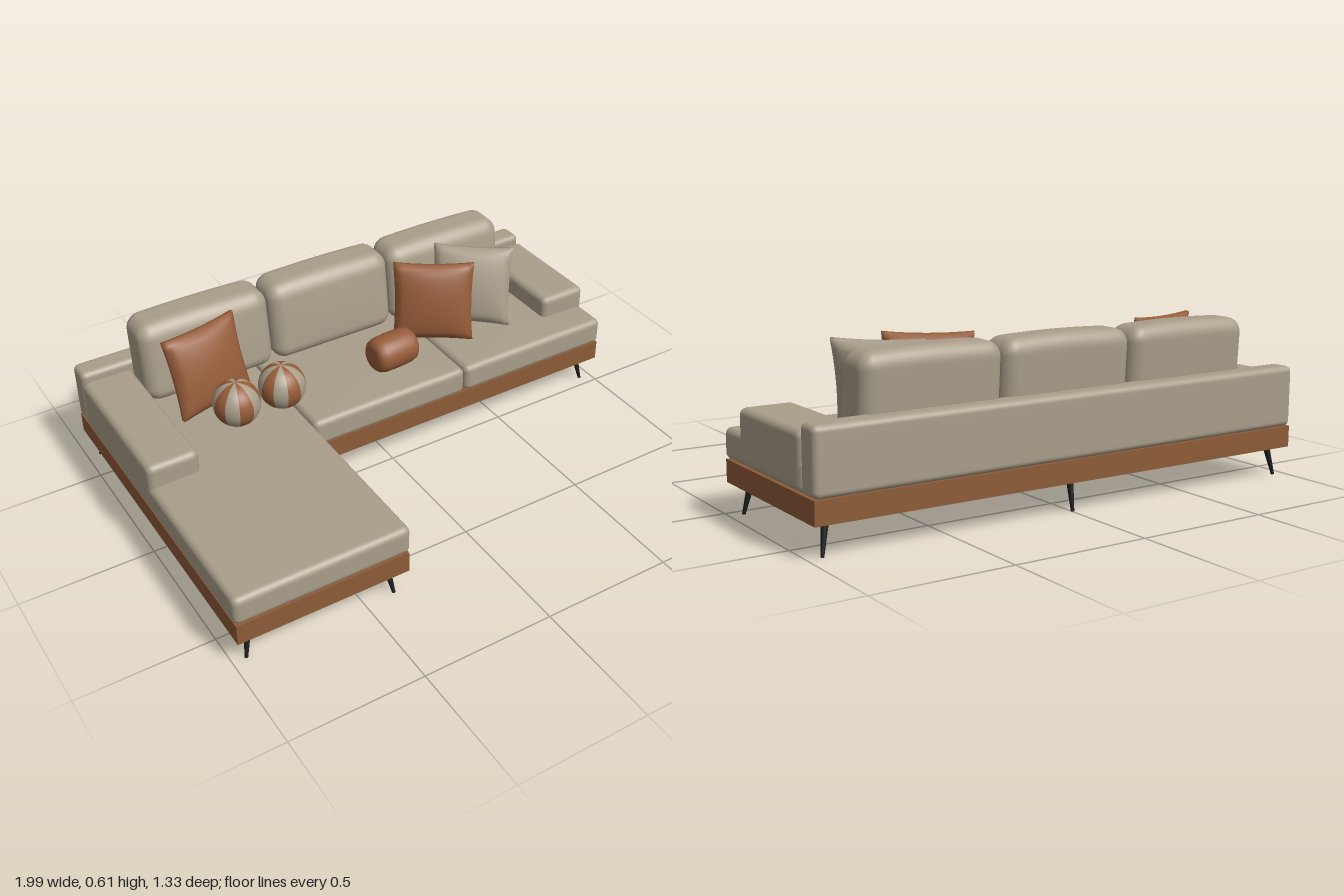
import * as THREE from 'three';
import { mergeVertices } from 'three/addons/utils/BufferGeometryUtils.js';

const material = (name, color) => {
  const m = new THREE.MeshStandardMaterial({ color });
  m.name = name;
  return m;
};

// Move every vertex by a rule, then weld and smooth the surface
function reshape(geometry, rule) {
  geometry.deleteAttribute('normal');
  geometry.deleteAttribute('uv');
  geometry.clearGroups();
  const pos = geometry.attributes.position;
  const p = new THREE.Vector3();
  for (let i = 0; i < pos.count; i++) {
    p.fromBufferAttribute(pos, i);
    rule(p);
    pos.setXYZ(i, p.x, p.y, p.z);
  }
  const welded = mergeVertices(geometry, 1e-5);
  welded.computeVertexNormals();
  return welded;
}

// Upholstered block: rounded edges, evenly divided flats, optional soft deformation
function softBox(w, h, d, r, deform) {
  const N = 16, C = 4;
  const half = [w / 2, h / 2, d / 2];
  const place = (t, size) => {
    const i = Math.round((t + 0.5) * N);
    const edge = Math.min(i, N - i);
    const inner = size - r;
    if (edge >= C) return inner * (i - N / 2) / (N / 2 - C);
    return Math.sign(t) * (inner + r * Math.tan((C - edge) / C * Math.PI / 4));
  };
  return reshape(new THREE.BoxGeometry(1, 1, 1, N, N, N), (p) => {
    p.set(place(p.x, half[0]), place(p.y, half[1]), place(p.z, half[2]));
    const core = new THREE.Vector3(
      THREE.MathUtils.clamp(p.x, -half[0] + r, half[0] - r),
      THREE.MathUtils.clamp(p.y, -half[1] + r, half[1] - r),
      THREE.MathUtils.clamp(p.z, -half[2] + r, half[2] - r));
    p.sub(core).setLength(r).add(core);
    if (deform) deform(p, p.x / half[0], p.y / half[1], p.z / half[2]);
  });
}

// Square scatter pillow: puffed middle, thin seam, pulled-out corners
function pillowGeometry(size, puff) {
  return reshape(new THREE.BoxGeometry(2, 2, 2, 20, 20, 1), (p) => {
    const { x: u, y: v } = p;
    const swell = Math.pow(Math.max(0, (1 - u * u) * (1 - v * v)), 0.45);
    p.x = u * size / 2 * (1 - 0.05 * (1 - v * v));
    p.y = v * size / 2 * (1 - 0.05 * (1 - u * u));
    p.z = Math.sign(p.z) * (0.008 + puff * swell);
  });
}

export function createModel() {
  const sofa = new THREE.Group();
  sofa.name = 'cornerSofa';
  const fabric = material('beige fabric', 0xa99e8a);
  const wood = material('brown wood', 0x8e5c38);
  const rust = material('rust fabric', 0x965c39);
  const metal = material('black metal', 0x1d1d1f);

  const add = (name, geometry, mat, x = 0, y = 0, z = 0) => {
    const mesh = new THREE.Mesh(geometry, mat);
    mesh.name = name;
    mesh.position.set(x, y, z);
    sofa.add(mesh);
    return mesh;
  };
  // Build a soft block from its extents
  const block = (name, [x0, x1], [y0, y1], [z0, z1], r, deform) =>
    add(name, softBox(x1 - x0, y1 - y0, z1 - z0, r, deform), fabric,
      (x0 + x1) / 2, (y0 + y1) / 2, (z0 + z1) / 2);

  // Plinth: chaise side and main side
  add('chaiseBase', new THREE.BoxGeometry(0.645, 0.08, 1.32), wood, -0.6675, 0.15, 0);
  add('mainBase', new THREE.BoxGeometry(1.335, 0.08, 0.655), wood, 0.3225, 0.15, -0.3325);

  // Seat cushions with a slight crown
  const crown = (p, u, v, w) => {
    if (v > 0) p.y += v * 0.008 * (1 - u * u) * (1 - w * w);
  };
  block('chaiseCushion', [-0.995, -0.337], [0.19, 0.3], [-0.58, 0.662], 0.024, crown);
  block('middleSeatCushion', [-0.335, 0.329], [0.19, 0.3], [-0.58, 0.003], 0.024, crown);
  block('endSeatCushion', [0.331, 0.993], [0.19, 0.3], [-0.58, 0.003], 0.024, crown);

  // Back rail and low arms
  block('backRail', [-0.992, 0.992], [0.19, 0.417], [-0.665, -0.57], 0.022);
  block('chaiseArm', [-0.996, -0.8], [0.192, 0.39], [-0.575, 0.03], 0.026);
  block('endArm', [0.795, 0.996], [0.192, 0.388], [-0.575, -0.125], 0.026);

  // Back cushions, leaning and thinner towards the top
  const lean = (p, u, v, w) => {
    p.z = p.z * (0.93 - 0.07 * v) - 0.014 * v;
    if (w > 0) p.z += 0.008 * w * (1 - u * u) * (1 - v * v);
    if (v > 0) p.y += 0.008 * v * (1 - u * u);
  };
  [-0.532, 0, 0.53].forEach((x) =>
    block('backCushion', [x - 0.264, x + 0.264], [0.295, 0.605], [-0.612, -0.425], 0.055, lean));

  // Scatter pillows
  const square = pillowGeometry(0.315, 0.046);
  [
    ['chaisePillow', rust, -0.59, -0.335, 12, 16],
    ['rustPillow', rust, 0.355, -0.27, -32, 13],
    ['beigePillow', fabric, 0.555, -0.295, -39, 18],
  ].forEach(([name, mat, x, z, yaw, tilt]) => {
    const pillow = add(name, square, mat, x, 0.455, z);
    pillow.rotation.set(THREE.MathUtils.degToRad(-tilt), THREE.MathUtils.degToRad(yaw), 0, 'YXZ');
  });

  // Striped ball cushions made of alternating wedges
  const stripes = 10, wedge = Math.PI * 2 / stripes;
  [[-0.565, -0.157, 0], [-0.375, -0.167, 0.1]].forEach(([x, z, turn]) => {
    const ball = new THREE.Group();
    ball.name = 'ballCushion';
    for (let i = 0; i < stripes; i++) {
      const slice = new THREE.Mesh(
        new THREE.SphereGeometry(0.088, 4, 20, i * wedge, wedge), i % 2 ? fabric : rust);
      slice.name = 'ballStripe';
      ball.add(slice);
    }
    ball.position.set(x, 0.39, z);
    ball.rotation.y = turn;
    sofa.add(ball);
  });

  // Small bolster
  const profile = [[0, -0.094], [0.035, -0.094], [0.052, -0.09], [0.064, -0.078], [0.07, -0.058],
    [0.072, 0], [0.07, 0.058], [0.064, 0.078], [0.052, 0.09], [0.035, 0.094], [0, 0.094]];
  const bolster = add('bolster',
    new THREE.LatheGeometry(profile.map(([r, y]) => new THREE.Vector2(r, y)), 32),
    rust, 0.104, 0.372, -0.17);
  bolster.rotation.set(0, 0.08, Math.PI / 2, 'YXZ');

  // Splayed tapered legs: foot position and inward offset of the top
  const down = new THREE.Vector3(0, 1, 0);
  [
    [-0.95, 0.625, 0.022, -0.02], [-0.385, 0.625, -0.018, -0.02],
    [-0.295, -0.045, 0, -0.02], [0.95, -0.045, -0.022, -0.02],
    [-0.95, -0.625, 0.022, 0.02], [0, -0.625, 0, 0.02], [0.95, -0.625, -0.022, 0.02],
  ].forEach(([x, z, dx, dz]) => {
    const axis = new THREE.Vector3(dx, 0.112, dz);
    const leg = add('leg', new THREE.CylinderGeometry(0.013, 0.006, axis.length(), 16), metal,
      x + dx / 2, 0.057, z + dz / 2);
    leg.quaternion.setFromUnitVectors(down, axis.normalize());
  });

  return sofa;
}
